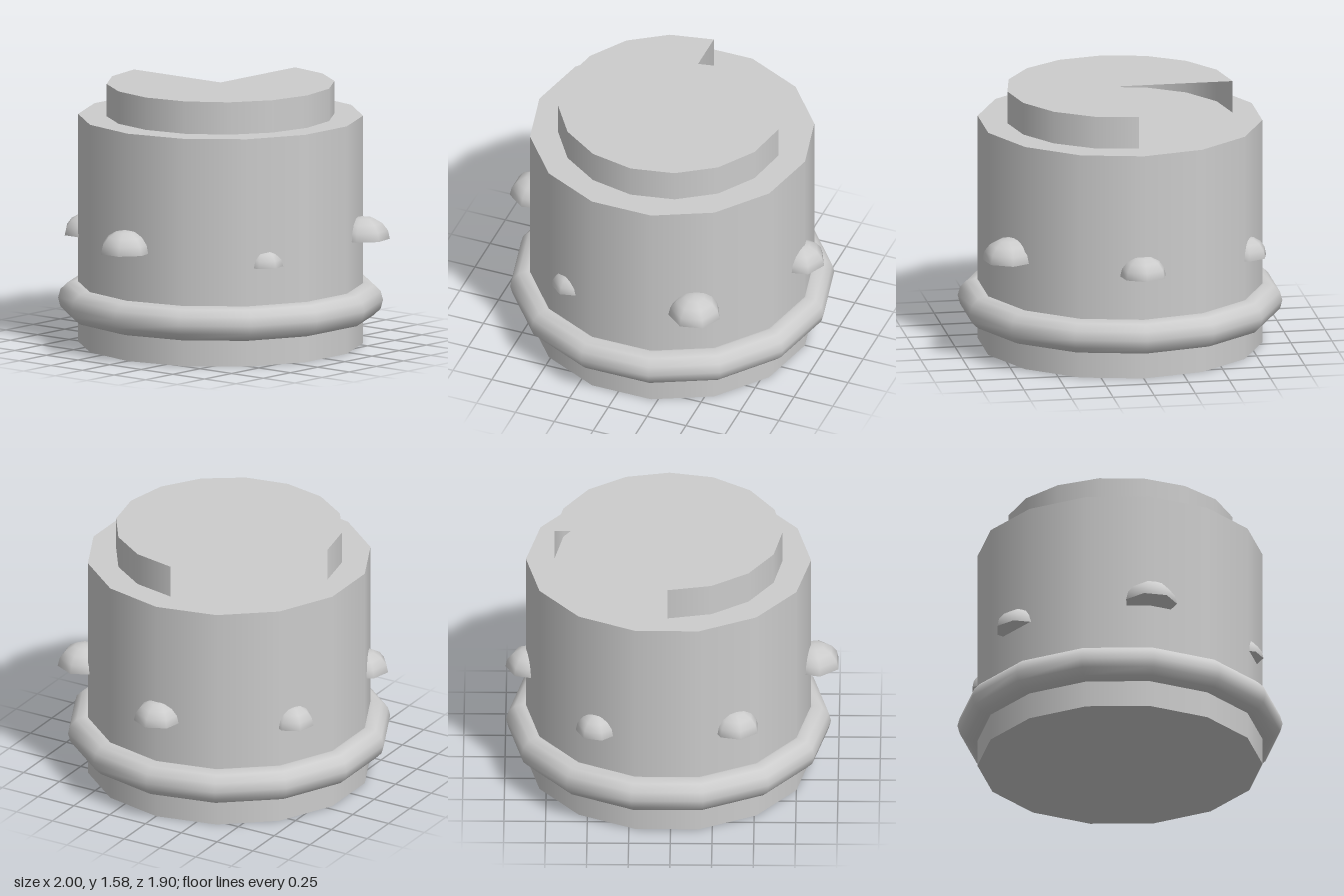
import * as THREE from 'three';

const CX = 0.02; // axis of the main body

export function createModel() {
  const group = new THREE.Group();
  const stone = new THREE.MeshStandardMaterial({ color: 0xcccccc, side: THREE.DoubleSide });
  stone.name = 'pale grey';

  const add = (name, geometry, x, y, z, parent = group) => {
    const mesh = new THREE.Mesh(geometry, stone);
    mesh.name = name;
    mesh.position.set(x, y, z);
    parent.add(mesh);
    return mesh;
  };

  // 14-sided drum with a corner on the x axis
  add('body', new THREE.CylinderGeometry(0.855, 0.855, 1.385, 14, 1, false, Math.PI / 2), CX, 0.6925, 0);

  // Three-quarter disc on top, open along the cut
  add('topSector', new THREE.CylinderGeometry(0.685, 0.685, 0.197, 12, 1, false, Math.PI, Math.PI * 1.5), CX, 1.4835, 0);

  // Rounded band near the foot
  const band = new THREE.TorusGeometry(0.87, 0.105, 12, 14);
  band.rotateX(Math.PI / 2);
  add('band', band, CX, 0.265, 0);

  // Half-dome studs around the wall: x, base y, z, radius, height
  const studs = [
    [0.85, 0.635, 0, 0.148, 0.125],
    [0.46, 0.66, 0.75, 0.16, 0.135],
    [-0.365, 0.595, 0.675, 0.12, 0.11],
    [-0.855, 0.665, 0, 0.16, 0.135],
    [-0.39, 0.635, -0.705, 0.145, 0.125],
    [0.44, 0.61, -0.695, 0.13, 0.12],
  ];
  for (const [x, y, z, r, h] of studs) {
    const stud = new THREE.Group();
    stud.name = 'stud';
    stud.position.set(x, y, z);
    const dome = new THREE.SphereGeometry(r, 7, 4, Math.PI, Math.PI * 2, 0, Math.PI / 2);
    dome.scale(1, h / r, 1);
    add('studDome', dome, 0, 0, 0, stud);
    const base = new THREE.CircleGeometry(r, 7);
    base.rotateX(Math.PI / 2);
    add('studBase', base, 0, 0, 0, stud);
    group.add(stud);
  }
  return group;
}
